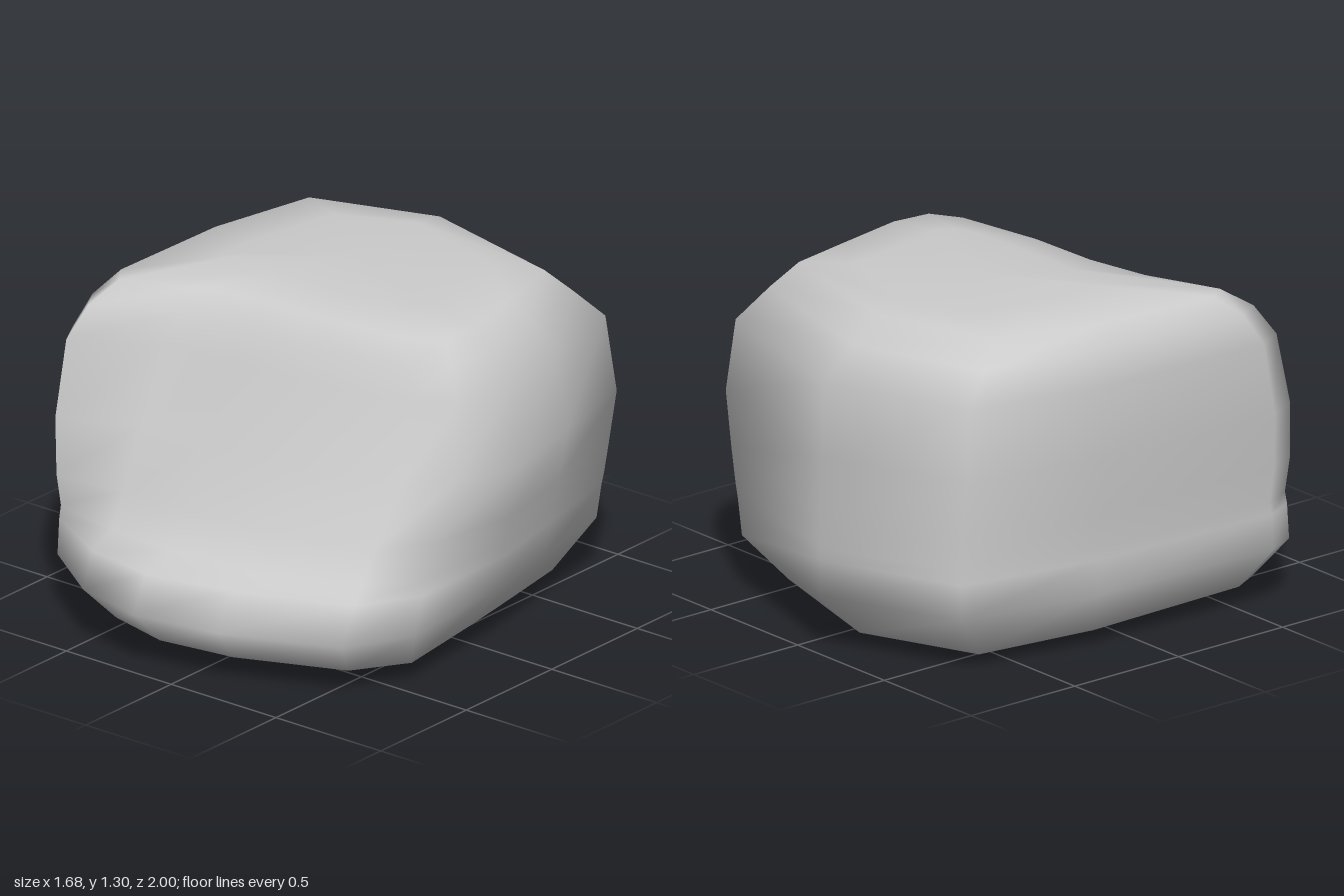
import * as THREE from 'three';

// Each level of the boulder, bottom to top:
// height, slope along z, back z, -x side, +x side, +x front edge,
// then front z at five stations from -x to +x
const LEVELS = [
  [0.03, 0.01, -0.45, -0.46, 0.34, 0.34, 0.4, 0.45, 0.47, 0.45, 0.38],
  [0.065, 0.03, -0.81, -0.73, 0.6, 0.69, 0.62, 0.8, 0.87, 0.82, 0.64],
  [0.23, 0, -1, -0.82, 0.71, 0.77, 0.73, 0.93, 1, 0.94, 0.76],
  [0.37, 0, -1, -0.82, 0.74, 0.76, 0.72, 0.88, 0.93, 0.85, 0.67],
  [0.42, 0, -1, -0.82, 0.755, 0.745, 0.71, 0.77, 0.78, 0.75, 0.62],
  [0.55, 0, -1, -0.825, 0.785, 0.75, 0.73, 0.7, 0.69, 0.67, 0.55],
  [0.77, 0, -0.99, -0.84, 0.84, 0.77, 0.72, 0.58, 0.56, 0.54, 0.41],
  [1.06, 0, -0.98, -0.845, 0.78, 0.73, 0.65, 0.46, 0.42, 0.4, 0.31],
  [1.18, 0, -0.84, -0.805, 0.7, 0.67, 0.57, 0.41, 0.36, 0.34, 0.26],
  [1.265, -0.015, -0.73, -0.75, 0.62, 0.62, 0.45, 0.33, 0.28, 0.27, 0.21],
  [1.295, 0, -0.6, -0.5, 0.38, 0.36, 0.1, 0.1, 0.1, 0.1, 0.08],
];

// Plan outline of one level: pointed back, bulging sides, bowed front
function outline([y, slope, back, xMin, xMax, xEdge, f0, f1, f2, f3, f4]) {
  const w = (xEdge - xMin) / 1.6; // narrows the front stations on small levels
  return [
    [-0.13, back],
    [0.79 * xMax, 0.8 * back],
    [0.9 * xMax, 0.4 * back],
    [xMax, -0.02],
    [0.98 * xEdge, 0.66 * f4],
    [0.8 * xEdge, f4],
    [0.17 * w, f3],
    [-0.18 * w, f2],
    [-0.48 * w, f1],
    [0.93 * xMin, f0],
    [xMin, 0.83 * f0],
    [0.965 * xMin, 0.2 * back],
    [0.83 * xMin, 0.78 * back],
  ].map(([x, z]) => [x, y + slope * z, z]);
}

// Skin the levels and close both ends with a fan
function loft(rings, bottom, top) {
  const n = rings[0].length;
  const index = [];
  const positions = [...rings.flat(), bottom, top].flat();
  const b = rings.length * n;
  const t = b + 1;
  const last = (rings.length - 1) * n;
  for (let j = 0; j < n; j++) {
    const k = (j + 1) % n;
    for (let i = 0; i < rings.length - 1; i++) {
      const lo = i * n;
      const hi = lo + n;
      index.push(lo + j, hi + j, lo + k, lo + k, hi + j, hi + k);
    }
    index.push(b, j, k, t, last + k, last + j);
  }
  const geometry = new THREE.BufferGeometry();
  geometry.setAttribute('position', new THREE.Float32BufferAttribute(positions, 3));
  geometry.setIndex(index);
  geometry.computeVertexNormals();
  return geometry;
}

export function createModel() {
  const group = new THREE.Group();
  group.name = 'rock';
  const boulder = new THREE.Mesh(
    loft(LEVELS.map(outline), [-0.13, 0, 0], [-0.1, 1.305, -0.2]),
    new THREE.MeshStandardMaterial({ color: 0xcccccc }),
  );
  boulder.name = 'boulder';
  group.add(boulder);
  return group;
}
